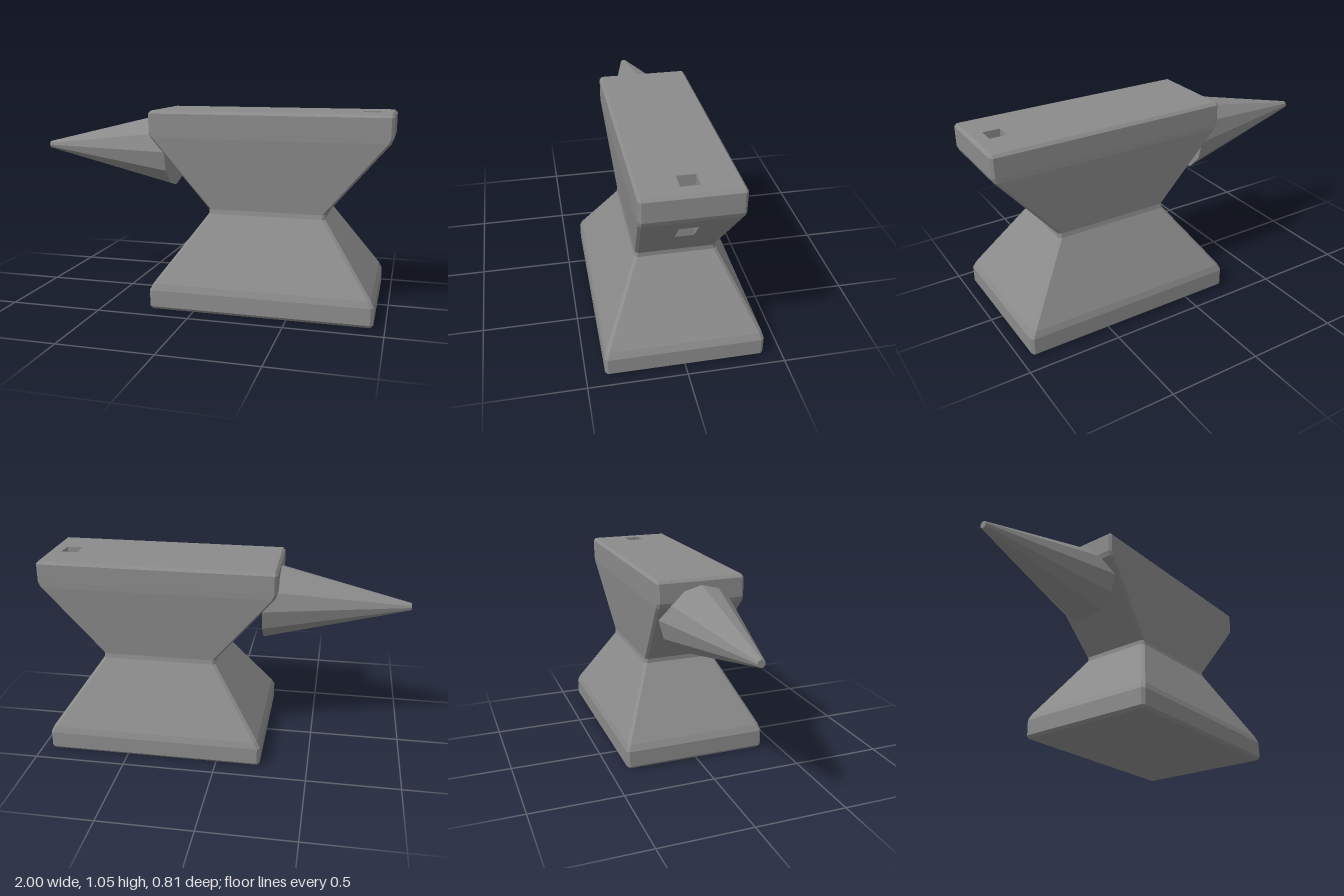
import * as THREE from 'three';

const CX = 0.35; // body centre along x

// Octagonal ring: rectangle with cut corners, wound counter-clockwise from above
function ring([y, hx, hz, c]) {
  const a = hx - c, b = hz - c;
  return [[hx, b], [hx, -b], [a, -hz], [-a, -hz], [-hx, -b], [-hx, b], [-a, hz], [a, hz]]
    .map(([x, z]) => new THREE.Vector3(CX + x, y, z));
}

function bodyGeometry() {
  const pos = [];
  const tri = (...pts) => pts.forEach(p => pos.push(p.x, p.y, p.z));
  const quad = (a, b, c, d) => { tri(a, b, c); tri(a, c, d); };
  // Four-sided face with a four-sided opening
  const frame = (outer, inner) => outer.forEach((o, i) => {
    const j = (i + 1) % 4;
    quad(o, outer[j], inner[j], inner[i]);
  });

  // height, half width, half depth, corner cut
  const rings = [
    [0, 0.578, 0.39, 0],
    [0.016, 0.5925, 0.405, 0.015],
    [0.105, 0.5925, 0.405, 0.015],
    [0.14, 0.575, 0.394, 0.015],
    [0.502, 0.315, 0.208, 0.014],
    [0.526, 0.315, 0.204, 0.014],
    [0.91, 0.637, 0.242, 0.014],
    [0.936, 0.648, 0.2425, 0.014],
    [1.04, 0.648, 0.2425, 0.014],
    [1.055, 0.634, 0.229, 0],
  ].map(ring);

  // Square hole running from the top face down through the sloping heel
  const HOLE_FACE = 5;
  const A = rings[HOLE_FACE], B = rings[HOLE_FACE + 1];
  const slopeY = x => A[0].y + (B[0].y - A[0].y) * (x - A[0].x) / (B[0].x - A[0].x);
  const plan = [[0.921, 0.046], [0.921, -0.046], [0.831, -0.046], [0.831, 0.046]];
  const holeTop = plan.map(([x, z]) => new THREE.Vector3(x, 1.055, z));
  const holeLow = plan.map(([x, z]) => new THREE.Vector3(x, slopeY(x), z));

  // Side walls
  for (let k = 0; k < rings.length - 1; k++) {
    const lo = rings[k], up = rings[k + 1];
    for (let i = 0; i < 8; i++) {
      const j = (i + 1) % 8;
      if (k === HOLE_FACE && i === 0) frame([lo[0], lo[1], up[1], up[0]], [...holeLow].reverse());
      else quad(lo[i], lo[j], up[j], up[i]);
    }
  }

  // Top face, underside and hole walls
  const top = rings[rings.length - 1], base = rings[0];
  frame([top[0], top[1], top[3], top[5]], holeTop);
  quad(base[5], base[3], base[1], base[0]);
  for (let i = 0; i < 4; i++) {
    const j = (i + 1) % 4;
    quad(holeTop[i], holeTop[j], holeLow[j], holeLow[i]);
  }

  const g = new THREE.BufferGeometry();
  g.setAttribute('position', new THREE.Float32BufferAttribute(pos, 3));
  g.computeVertexNormals();
  return g;
}

export function createModel() {
  const group = new THREE.Group();
  group.name = 'anvil';
  // Dark iron grey
  const material = new THREE.MeshStandardMaterial({ color: 0x8b8b8b, flatShading: true });

  const body = new THREE.Mesh(bodyGeometry(), material);
  body.name = 'body';
  group.add(body);

  // Tapered twelve-sided horn pointing to -x
  const horn = new THREE.Mesh(new THREE.CylinderGeometry(0.02, 0.21, 0.782, 12), material);
  horn.name = 'horn';
  horn.rotation.z = Math.PI / 2;
  horn.position.set(-0.609, 0.828, 0);
  group.add(horn);

  return group;
}
